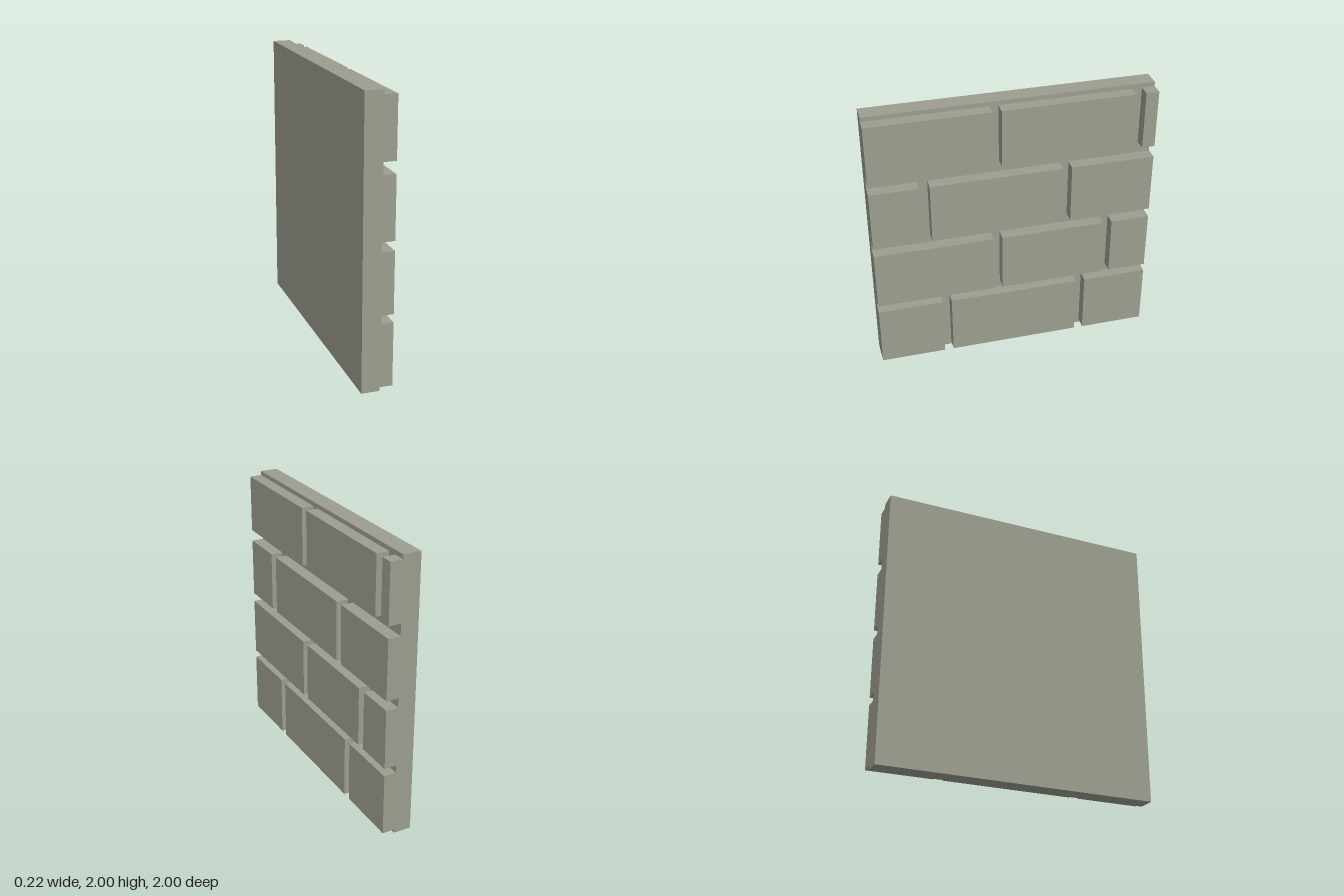
import * as THREE from 'three';

const BACK = -0.108, FACE = 0.02, FRONT = 0.108;

// Each course: bottom, top, and [start, end] of every brick along z
const COURSES = [
  { y: [0.026, 0.476], bricks: [[0.535, 1], [-0.47, 0.47], [-1, -0.535]] },
  { y: [0.533, 0.964], bricks: [[0.152, 1], [-0.653, 0.09], [-1, -0.72]] },
  { y: [1.031, 1.466], bricks: [[0.66, 1], [-0.342, 0.588], [-1, -0.406]] },
  { y: [1.55, 1.969], bricks: [[0.152, 1], [-0.84, 0.09], [-1, -0.909]] },
];

// Box spanning the given ranges on each axis
function block(name, [x0, x1], [y0, y1], [z0, z1], material) {
  const mesh = new THREE.Mesh(new THREE.BoxGeometry(x1 - x0, y1 - y0, z1 - z0), material);
  mesh.position.set((x0 + x1) / 2, (y0 + y1) / 2, (z0 + z1) / 2);
  mesh.name = name;
  return mesh;
}

export function createModel() {
  const stone = new THREE.MeshStandardMaterial({ color: 0x9d9e90 });
  stone.name = 'stone';
  const wall = new THREE.Group();
  wall.name = 'brickWall';

  // Mortar slab behind the bricks
  wall.add(block('backingSlab', [BACK, FACE], [0, 2], [-1, 1], stone));

  // Raised bricks, one group per course
  COURSES.forEach(({ y, bricks }, i) => {
    const course = new THREE.Group();
    course.name = `brickCourse${i + 1}`;
    bricks.forEach((z, j) => course.add(block(`brick${j + 1}`, [FACE, FRONT], y, z, stone)));
    wall.add(course);
  });
  return wall;
}
